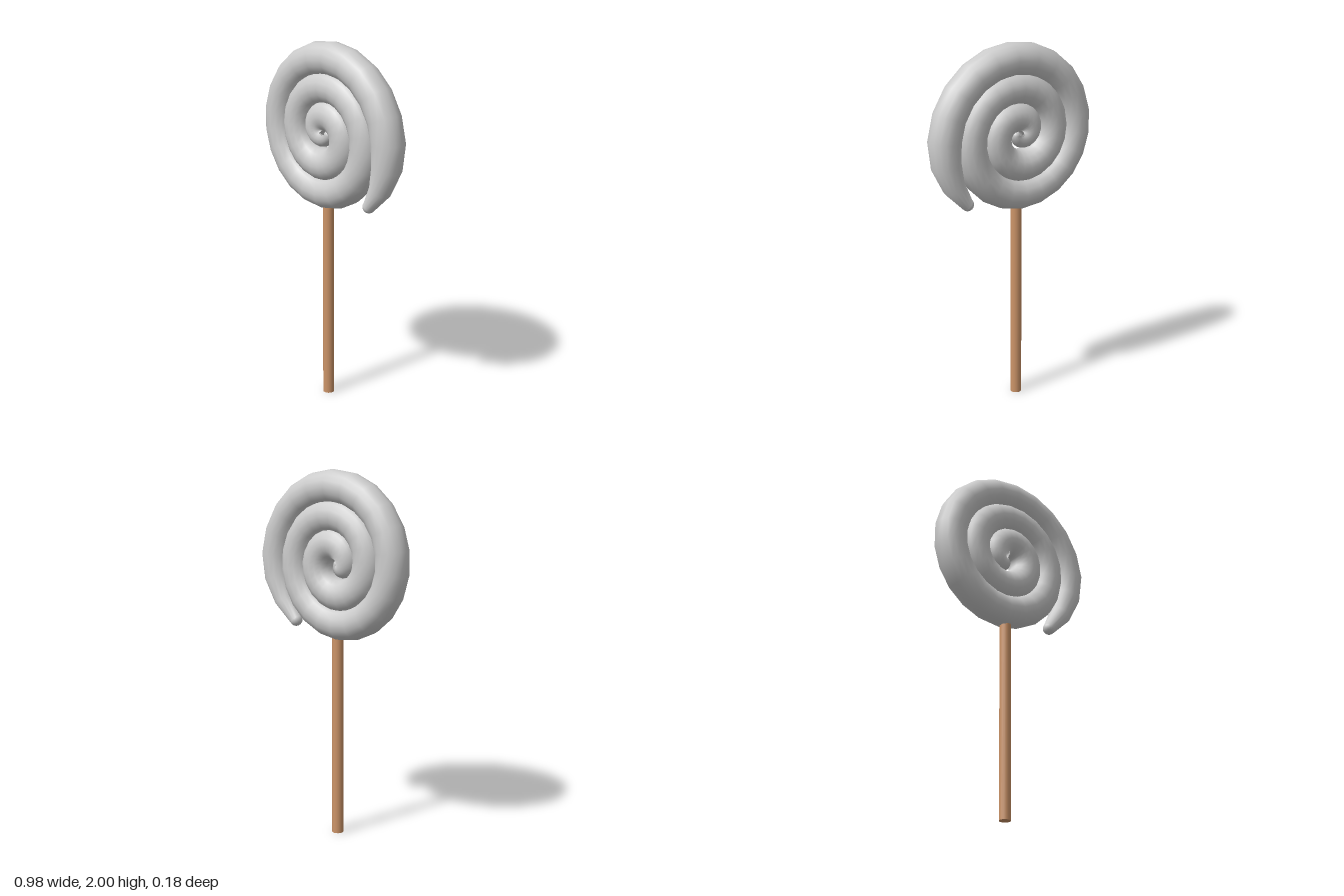
import * as THREE from 'three';

const CENTRE = new THREE.Vector2(-0.04, 1.505);
const PITCH = 0.152;                        // coil spacing per turn
const TUBE = 0.09;
const END_ANGLE = THREE.MathUtils.degToRad(-48);
const END_RADIUS = 0.46;
const TURNS = 2.95;

// Flat spiral, sampled evenly by angle, from the outer tip to the middle
class Spiral extends THREE.Curve {
  getPoint(t, target = new THREE.Vector3()) {
    const a = END_ANGLE + t * TURNS * Math.PI * 2;
    const r = END_RADIUS - PITCH * TURNS * t;
    return target.set(CENTRE.x + r * Math.cos(a), CENTRE.y + r * Math.sin(a), 0);
  }
  getUtoTmapping(u) { return u; }
}

// Tube radius along the spiral: swells from a thin tip at either end
function tubeRadius(t) {
  const swell = (d, length, tip) =>
    tip + (TUBE - tip) * Math.sin(Math.min(1, d / length) * Math.PI / 2);
  return Math.min(swell(t, 0.05, 0.035), swell(1 - t, 0.22, 0.025));
}

function createCandy(material) {
  const candy = new THREE.Group();
  candy.name = 'candySpiral';
  const path = new Spiral();
  const segments = 64, sides = 16;
  const geometry = new THREE.TubeGeometry(path, segments, TUBE, sides, false);

  // Taper each ring about its own centre
  const pos = geometry.attributes.position;
  const p = new THREE.Vector3(), c = new THREE.Vector3();
  for (let i = 0; i < pos.count; i++) {
    const t = Math.floor(i / (sides + 1)) / segments;
    path.getPoint(t, c);
    p.fromBufferAttribute(pos, i).sub(c).multiplyScalar(tubeRadius(t) / TUBE).add(c);
    pos.setXYZ(i, p.x, p.y, p.z);
  }
  const coil = new THREE.Mesh(geometry, material);
  coil.name = 'coil';
  candy.add(coil);

  // Rounded tips
  for (const [t, name] of [[0, 'outerTip'], [1, 'innerTip']]) {
    const tip = new THREE.Mesh(new THREE.SphereGeometry(tubeRadius(t), 16, 12), material);
    tip.position.copy(path.getPoint(t));
    tip.name = name;
    candy.add(tip);
  }
  return candy;
}

export function createModel() {
  const model = new THREE.Group();
  model.name = 'lollipop';
  model.add(createCandy(new THREE.MeshStandardMaterial({ color: 0xcccccc })));

  // Wooden stick, pushed a little way into the candy
  const stick = new THREE.Mesh(
    new THREE.CylinderGeometry(0.031, 0.031, 1.14, 16),
    new THREE.MeshStandardMaterial({ color: 0xcc9468 })
  );
  stick.position.set(-0.036, 0.57, 0);
  stick.name = 'stick';
  model.add(stick);
  return model;
}
